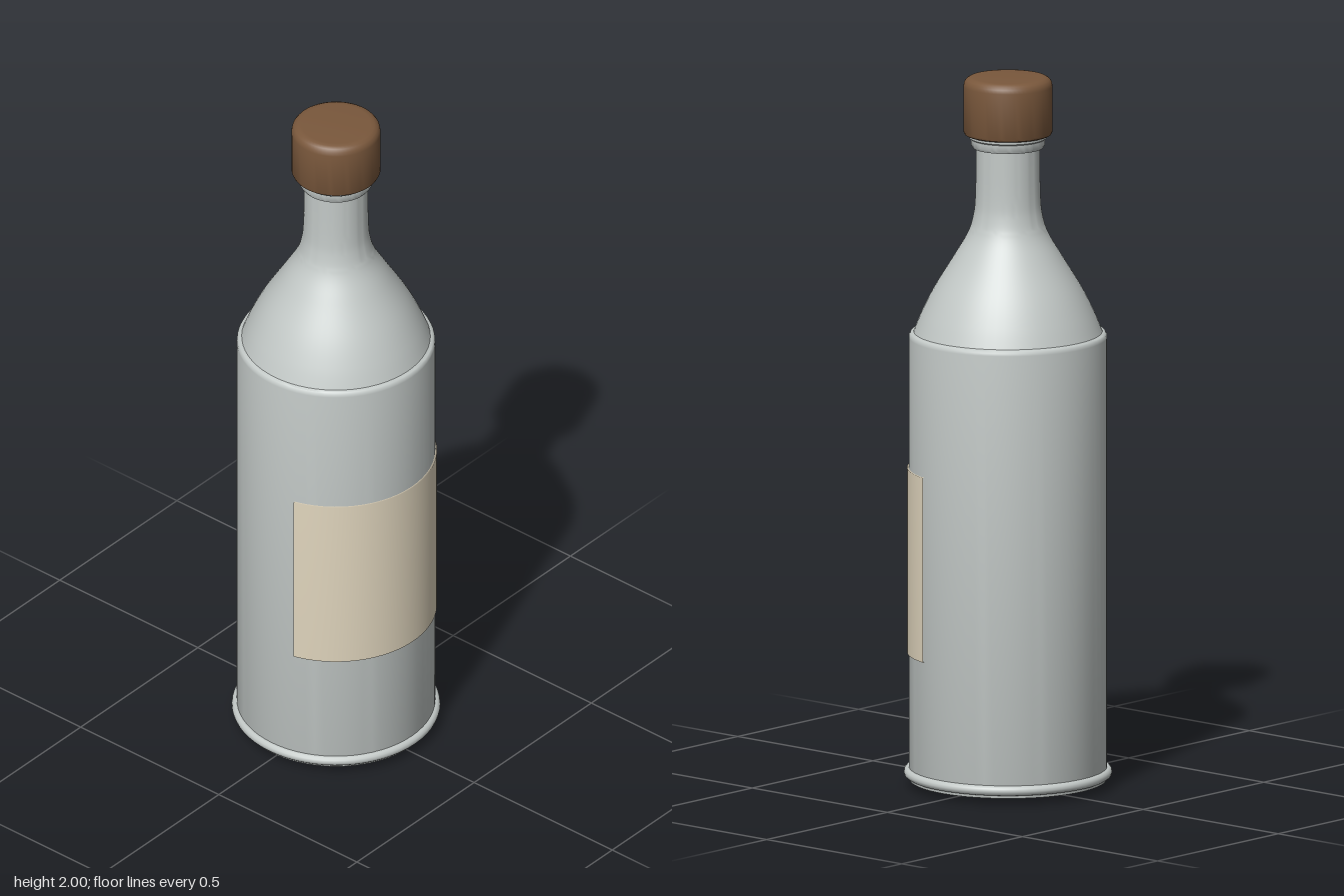
import * as THREE from 'three';
import { toCreasedNormals } from 'three/addons/utils/BufferGeometryUtils.js';

const SEGMENTS = 64;

const glass = new THREE.MeshStandardMaterial({ color: 0xc3c9c7 });
glass.name = 'pale grey glass';
const wood = new THREE.MeshStandardMaterial({ color: 0x7a583c });
wood.name = 'brown stopper';
const paper = new THREE.MeshStandardMaterial({ color: 0xe0d5bd, side: THREE.DoubleSide });
paper.name = 'cream paper';

const toPoints = (pairs) => pairs.map(([r, y]) => new THREE.Vector2(r, y));

// Turned part from [radius, height] pairs, listed bottom to top
function turned(name, pairs, material) {
  const lathe = new THREE.LatheGeometry(toPoints(pairs), SEGMENTS);
  const mesh = new THREE.Mesh(toCreasedNormals(lathe, 0.6), material);
  mesh.name = name;
  return mesh;
}

export function createModel() {
  const group = new THREE.Group();
  group.name = 'bottle';

  // Straight body with a softly rounded upper edge
  group.add(turned('body', [
    [0, 0.022], [0.272, 0.022], [0.274, 0.03], [0.274, 1.268],
    [0.273, 1.275], [0.269, 1.281], [0.262, 1.284], [0.25, 1.284],
  ], glass));

  // Shoulder sweeping into the neck
  const sweep = new THREE.SplineCurve(toPoints([
    [0.264, 1.275], [0.24, 1.335], [0.205, 1.405], [0.15, 1.495],
    [0.112, 1.56], [0.096, 1.61], [0.09, 1.67], [0.088, 1.805],
  ])).getPoints(40).map((p) => [p.x, p.y]);
  group.add(turned('shoulderAndNeck', sweep, glass));

  // Lip under the stopper
  group.add(turned('lip', [
    [0.085, 1.8], [0.097, 1.802], [0.102, 1.81], [0.102, 1.826],
    [0.107, 1.83], [0.107, 1.845], [0, 1.845],
  ], glass));

  // Stopper with rounded rims
  group.add(turned('stopper', [
    [0, 1.838], [0.115, 1.838], [0.12, 1.841], [0.123, 1.848], [0.123, 1.975],
    [0.121, 1.986], [0.115, 1.994], [0.106, 1.999], [0.095, 2], [0, 2],
  ], wood));

  // Rolled ring round the foot
  const ring = new THREE.Mesh(new THREE.TorusGeometry(0.274, 0.014, 12, SEGMENTS), glass);
  ring.name = 'footRing';
  ring.rotation.x = Math.PI / 2;
  ring.position.y = 0.044;
  group.add(ring);

  // Small nub under the base
  const nub = new THREE.Mesh(new THREE.SphereGeometry(0.012, 16, 12), glass);
  nub.name = 'baseNub';
  nub.position.y = 0.016;
  group.add(nub);

  // Wrapped label with soft top and bottom edges
  const halfAngle = THREE.MathUtils.degToRad(74.4);
  const label = new THREE.Mesh(new THREE.LatheGeometry(toPoints([
    [0.271, 0.38], [0.279, 0.38], [0.279, 0.9], [0.271, 0.9],
  ]), 40, -halfAngle, halfAngle * 2), paper);
  label.name = 'label';
  group.add(label);

  return group;
}
